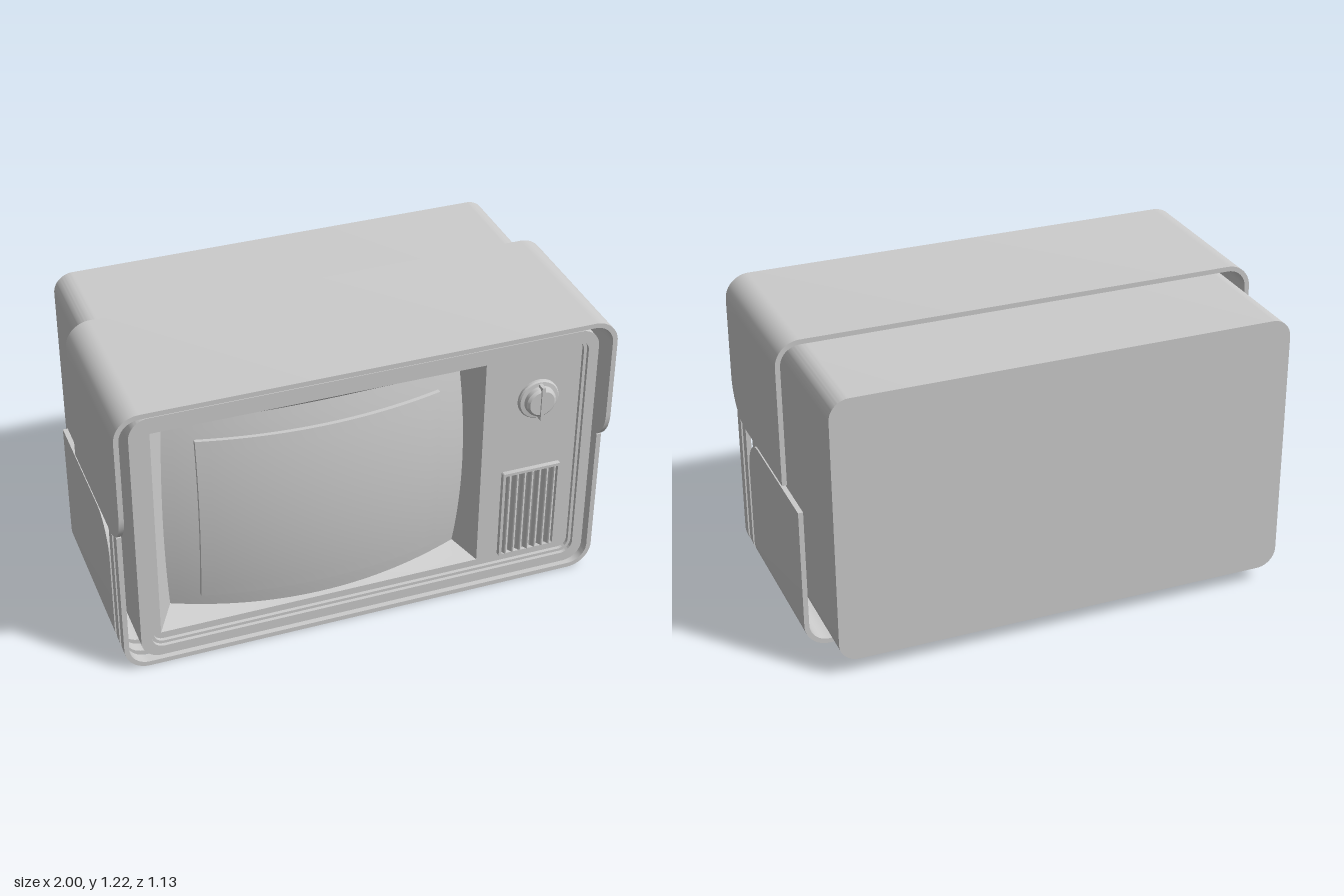
import * as THREE from 'three';
import { toCreasedNormals } from 'three/addons/utils/BufferGeometryUtils.js';

const material = new THREE.MeshStandardMaterial({ color: 0xcccccc });

function add(group, name, geometry, x = 0, y = 0, z = 0) {
  const mesh = new THREE.Mesh(toCreasedNormals(geometry, 0.5), material);
  mesh.name = name;
  mesh.position.set(x, y, z);
  group.add(mesh);
  return mesh;
}

// Skin closed rings of points, optionally capping four-sided ends
function loft(rings, caps) {
  const n = rings[0].length, index = [];
  const quad = (a, b, c, d) => index.push(a, b, c, a, c, d);
  for (let i = 0; i < rings.length - 1; i++) {
    for (let j = 0; j < n; j++) {
      const k = (j + 1) % n;
      quad(i * n + j, i * n + k, (i + 1) * n + k, (i + 1) * n + j);
    }
  }
  if (caps) {
    const e = (rings.length - 1) * n;
    quad(0, 3, 2, 1);
    quad(e, e + 1, e + 2, e + 3);
  }
  const g = new THREE.BufferGeometry();
  g.setAttribute('position', new THREE.Float32BufferAttribute(rings.flat(2), 3));
  g.setIndex(index);
  g.computeVertexNormals();
  return g;
}

// U-shaped sheet: side lists [y, front z] from the free end towards the bend
function uBand(edge, k, side, zBack) {
  const r = 0.1, t = 0.02, half = [];
  const zMax = side[side.length - 1][1];
  for (const [y, zf] of side) half.push([1, k * (edge - y), 1, 0, zf]);
  for (let i = 0; i <= 12; i++) {
    const a = (i / 12) * Math.PI / 2, c = Math.cos(a), s = Math.sin(a);
    half.push([1 - r + r * c, r - r * s, c, s, zMax]);
  }
  const other = half.map(([x, d, nx, ny, z]) => [-x, d, -nx, ny, z]).reverse();
  const rings = [...half, ...other].map(([x, d, nx, ny, zf]) => {
    const ox = k * x, oy = edge - k * d;
    const ix = ox - k * t * nx, iy = oy - k * t * ny;
    return [[ox, oy, zf], [ox, oy, zBack], [ix, iy, zBack], [ix, iy, zf]];
  });
  return loft(rings, true);
}

// Side profile of a quarter-round front corner
function roundedSide(yEnd, yFull, zEnd, zFull) {
  return Array.from({ length: 15 }, (_, i) => {
    const a = (i / 14) * Math.PI / 2;
    return [yEnd + (yFull - yEnd) * (1 - Math.cos(a)), zEnd + (zFull - zEnd) * Math.sin(a)];
  });
}

function roundRect(w, h, r, Type = THREE.Shape) {
  const s = new Type(), x = w / 2, y = h / 2, q = Math.PI / 2;
  s.absarc(x - r, y - r, r, 0, q);
  s.absarc(r - x, y - r, r, q, 2 * q);
  s.absarc(r - x, r - y, r, 2 * q, 3 * q);
  s.absarc(x - r, r - y, r, 3 * q, 4 * q);
  s.closePath();
  return s;
}

const extrude = (shape, depth) =>
  new THREE.ExtrudeGeometry(shape, { depth, bevelEnabled: false, curveSegments: 10 });

function deform(g, rule) {
  const p = g.attributes.position;
  for (let i = 0; i < p.count; i++) p.setXYZ(i, ...rule(p.getX(i), p.getY(i), p.getZ(i)));
  g.computeVertexNormals();
  return g;
}

// Bulging picture tube
const CX = -0.185, CY = 0.62, HW = 0.615, HH = 0.455;
const bulge = (x, y) => 0.538 - 0.1 * ((x - CX) / HW) ** 2 - 0.04 * ((y - CY) / HH) ** 2;
function tubePoint(s, t) {
  const x = CX + s * HW * (1 - 0.03 * t * t), y = CY + t * HH * (1 - 0.08 * s * s);
  return [x, y, bulge(x, y)];
}

export function createModel() {
  const group = new THREE.Group();
  group.name = 'television';

  // Cabinet with an open front rim
  add(group, 'cabinet', extrude(roundRect(1.875, 1.11, 0.08), 0.865), 0, 0.622, -0.565);
  const rim = roundRect(1.875, 1.11, 0.08);
  rim.holes.push(roundRect(1.79, 1.025, 0.05, THREE.Path));
  add(group, 'frontRim', extrude(rim, 0.24), 0, 0.622, 0.3);
  const lip = roundRect(1.79, 1.025, 0.05);
  lip.holes.push(roundRect(1.765, 1.0, 0.04, THREE.Path));
  add(group, 'innerLip', extrude(lip, 0.22), 0, 0.622, 0.305);

  // Front panel with the screen opening
  const OW = 0.665, OH = 0.468, PZ = 0.51;
  const panel = roundRect(1.765, 1.0, 0.04);
  const hole = new THREE.Path();
  const cy = CY - 0.622;
  hole.moveTo(CX - OW, cy - OH);
  hole.lineTo(CX - OW, cy + OH);
  hole.lineTo(CX + OW, cy + OH);
  hole.lineTo(CX + OW, cy - OH);
  hole.closePath();
  panel.holes.push(hole);
  add(group, 'frontPanel', extrude(panel, 0.02), 0, 0.622, PZ - 0.02);

  // Sloping surround between opening and tube
  const outer = [], inner = [], N = 20;
  for (let e = 0; e < 4; e++) {
    for (let i = 0; i < N; i++) {
      const u = -1 + 2 * i / N;
      const [s, t] = [[u, -1], [1, u], [-u, 1], [-1, -u]][e];
      outer.push([CX + s * OW, CY + t * OH, PZ]);
      inner.push(tubePoint(s, t));
    }
  }
  add(group, 'screenSurround', loft([outer, inner], false));
  add(group, 'screen', deform(new THREE.PlaneGeometry(2, 2, 28, 28), tubePoint));
  add(group, 'screenGlass', deform(new THREE.BoxGeometry(0.98, 0.73, 0.034, 20, 16, 1),
    (x, y, z) => [x + CX + 0.005, y + 0.615, z + bulge(x + CX, y + 0.615)]));

  // Wrap-around shells
  add(group, 'upperShell', uBand(1.22, 1, roundedSide(0.617, 0.78, 0.4, 0.57), -0.115));
  add(group, 'lowerShell', uBand(0, -1, roundedSide(0.605, 0.45, 0.22, 0.37), -0.32));
  add(group, 'frontStrip', uBand(0, -1, [[0.652, 0.51], [0.626, 0.51]].map(([y], i) => [y, i ? 0.465 : 0.51]).concat([]).length
    ? [[0.65, 0.51], [0.626, 0.51]] : [], 0.465));
  add(group, 'rearStrip', uBand(0, -1, [[0.62, 0.44], [0.616, 0.44]], 0.395));

  // Tuning knob: turned disc with a grip bar
  const profile = [[0, 0.045], [0.052, 0.045], [0.062, 0.036], [0.064, 0.018], [0.08, 0.016], [0.085, 0.01], [0.085, 0]];
  const knob = new THREE.LatheGeometry(profile.reverse().map(([x, y]) => new THREE.Vector2(x, y)), 40);
  add(group, 'knob', knob.rotateX(Math.PI / 2), 0.705, 0.89, PZ);
  add(group, 'knobGrip', new THREE.BoxGeometry(0.014, 0.15, 0.05), 0.705, 0.89, PZ + 0.027);

  // Speaker grille: frame and fluted face
  const frame = roundRect(0.25, 0.41, 0.008);
  frame.holes.push(roundRect(0.226, 0.386, 0.005, THREE.Path));
  add(group, 'grilleFrame', extrude(frame, 0.02), 0.695, 0.36, PZ);
  add(group, 'grille', deform(new THREE.PlaneGeometry(0.226, 0.386, 84, 1),
    (x, y) => [x, y, 0.012 - 0.01 * Math.cos((x / 0.226 + 0.5) * 14 * Math.PI)]), 0.695, 0.36, PZ);

  return group;
}
